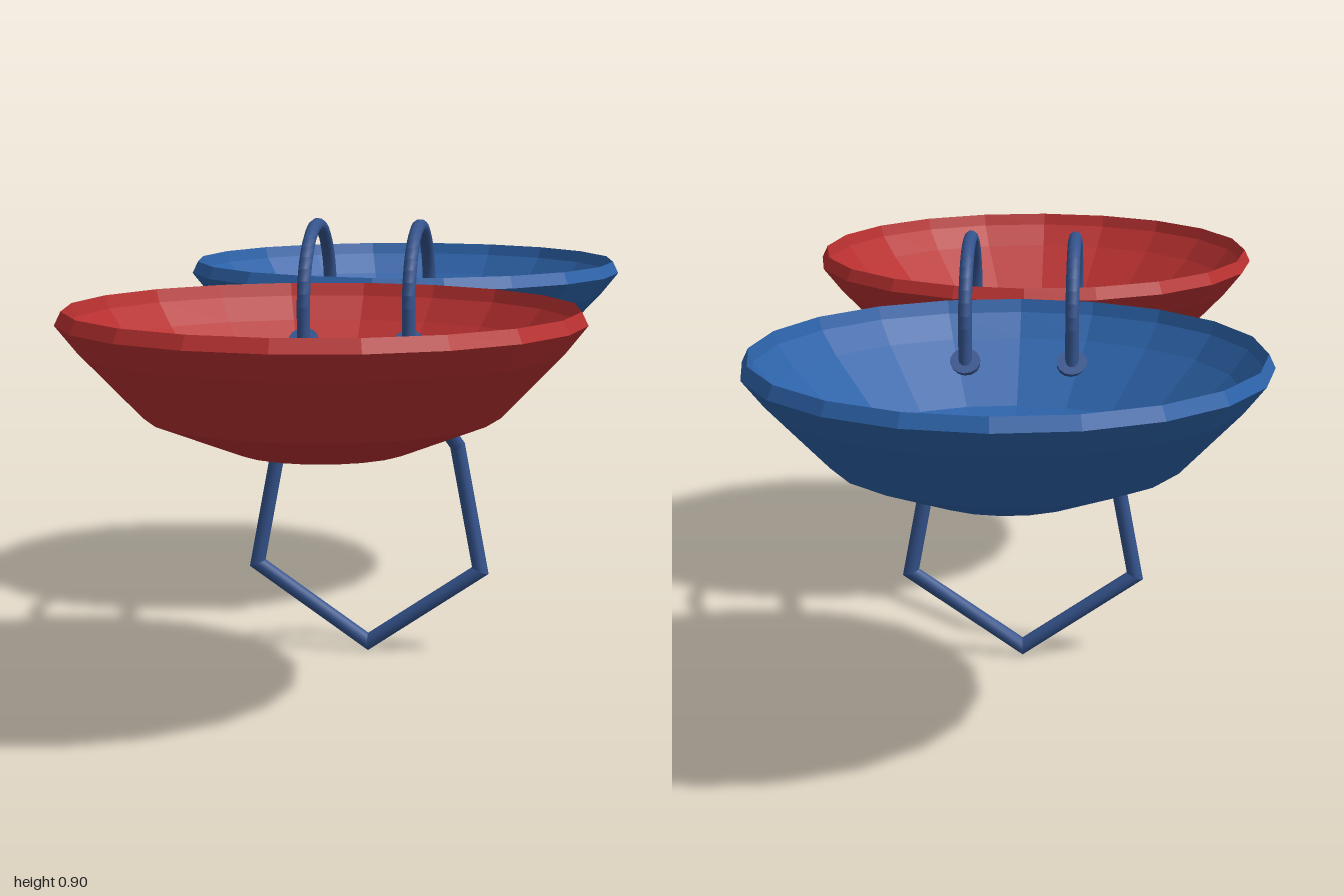
import * as THREE from 'three';

// Sweep a round section along a polyline with mitred corners
function wireGeometry(path, radius, sides) {
  const dirs = path.slice(1).map((p, i) => p.clone().sub(path[i]).normalize());
  const side = new THREE.Vector3(0, 0, 1).cross(dirs[0]);
  if (side.length() < 0.01) side.set(1, 0, 0);
  side.addScaledVector(dirs[0], -side.dot(dirs[0])).normalize();
  const up = dirs[0].clone().cross(side);
  let ring = [];
  for (let j = 0; j < sides; j++) {
    const a = (j / sides) * Math.PI * 2;
    ring.push(path[0].clone().addScaledVector(side, radius * Math.cos(a)).addScaledVector(up, radius * Math.sin(a)));
  }
  const pos = [], index = [];
  const quad = (a, b, c, d) => index.push(a, b, c, a, c, d);
  dirs.forEach((d, i) => {
    const n = d.clone().add(dirs[i + 1] || d).normalize();
    const next = ring.map((p) => p.clone().addScaledVector(d, path[i + 1].clone().sub(p).dot(n) / d.dot(n)));
    const base = pos.length / 3;
    [...ring, ...next].forEach((p) => pos.push(p.x, p.y, p.z));
    for (let j = 0; j < sides; j++) {
      const k = (j + 1) % sides;
      quad(base + j, base + k, base + sides + k, base + sides + j);
    }
    ring = next;
  });
  const g = new THREE.BufferGeometry();
  g.setAttribute('position', new THREE.Float32BufferAttribute(pos, 3));
  g.setIndex(index);
  g.computeVertexNormals();
  return g;
}

export function createModel() {
  const model = new THREE.Group();
  const flat = (name, color) => {
    const m = new THREE.MeshStandardMaterial({ color, flatShading: true });
    m.name = name;
    return m;
  };
  const red = flat('red enamel', 0xb83030);
  const blue = flat('blue enamel', 0x2c62a8);
  const steel = new THREE.MeshStandardMaterial({ color: 0x34538c });
  steel.name = 'blue steel';

  const add = (name, geometry, material, x = 0, y = 0, z = 0) => {
    const mesh = new THREE.Mesh(geometry, material);
    mesh.name = name;
    mesh.position.set(x, y, z);
    model.add(mesh);
    return mesh;
  };

  // Two shallow bowls: outside, rim, then inside
  const bowl = new THREE.LatheGeometry([
    [0, 0.501], [0.16, 0.515], [0.325, 0.58], [0.44, 0.7], [0.48, 0.75],
    [0.468, 0.775], [0.46, 0.75], [0.425, 0.705], [0.312, 0.595], [0.154, 0.531], [0, 0.517],
  ].map(([r, y]) => new THREE.Vector2(r, y)), 20);
  add('frontBowl', bowl, red, 0, 0, 0.52);
  add('backBowl', bowl, blue, 0, 0, -0.52);

  // Arched wires bridging the bowls, ending in nuts below them
  const reach = 0.152, springY = 0.735;
  const arch = [new THREE.Vector3(0, 0.6, reach)];
  for (let i = 0; i <= 20; i++) {
    const a = (i / 20) * Math.PI;
    arch.push(new THREE.Vector3(0, springY + reach * Math.sin(a), reach * Math.cos(a)));
  }
  arch.push(new THREE.Vector3(0, 0.6, -reach));
  const archGeometry = wireGeometry(arch, 0.0135, 10);
  const nut = new THREE.SphereGeometry(0.042, 12, 8).scale(1, 0.45, 1);
  const washer = new THREE.CylinderGeometry(0.03, 0.03, 0.012, 14);
  for (const x of [-0.105, 0.105]) {
    add('archWire', archGeometry, steel, x);
    for (const s of [-1, 1]) {
      add('nut', nut, steel, x, 0.614, s * reach);
      add('washer', washer, steel, x, 0.667, s * reach).rotation.x = s * 0.75;
    }
  }

  // Bent hanger below, running up to the front nuts
  const half = [[0.105, 0.605, 0.155], [0.185, 0.44, 0], [0.234, 0.18, 0]];
  const hanger = [
    ...half.map(([x, y, z]) => new THREE.Vector3(-x, y, z)),
    new THREE.Vector3(0, 0.02, 0),
    ...half.reverse().map(([x, y, z]) => new THREE.Vector3(x, y, z)),
  ];
  add('hangerWire', wireGeometry(hanger, 0.0155, 10), steel);
  return model;
}
